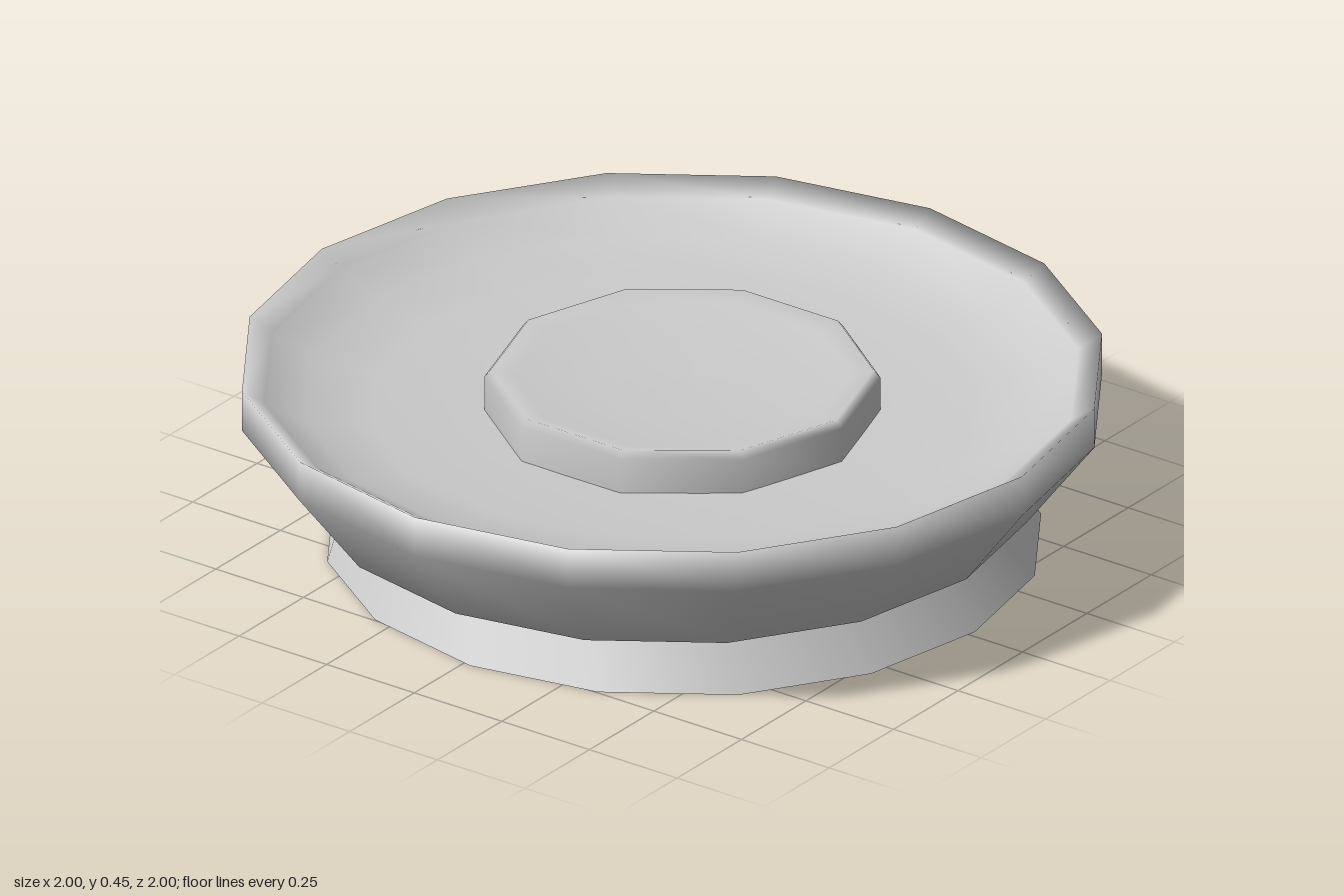
import * as THREE from 'three';

const material = new THREE.MeshStandardMaterial({ color: 0xcccccc, side: THREE.DoubleSide });

// Turn a [radius, height] profile around the y axis
function turned(name, profile, sides) {
  const points = profile.map(([r, y]) => new THREE.Vector2(r, y));
  const mesh = new THREE.Mesh(new THREE.LatheGeometry(points, sides), material);
  mesh.name = name;
  return mesh;
}

export function createModel() {
  const model = new THREE.Group();
  model.name = 'dish';

  // Flared outer wall with its rim
  model.add(turned('wall', [
    [0.77, 0.11], [0.84, 0.14], [1, 0.35], [1, 0.45], [0.945, 0.415],
  ], 16));

  // Thin dished floor hung from the rim
  model.add(turned('floor', [
    [0.945, 0.415], [0.85, 0.36], [0.7, 0.34], [0.45, 0.325], [0, 0.315],
  ], 16));

  // Open foot ring, its lower edge shifted slightly off centre
  const foot = turned('foot', [[0.83, 0], [0.77, 0.11]], 16);
  const pos = foot.geometry.attributes.position;
  for (let i = 0; i < pos.count; i++) {
    if (pos.getY(i) < 0.05) {
      pos.setX(i, pos.getX(i) + 0.02);
      pos.setZ(i, pos.getZ(i) + 0.02);
    }
  }
  model.add(foot);

  // Ten-sided raised centre with a shallow hollow on top
  const knob = turned('centreKnob', [
    [0.455, 0.315], [0.455, 0.41], [0.44, 0.428], [0.39, 0.415], [0.2, 0.403], [0, 0.4],
  ], 10);
  knob.position.set(0.02, 0, 0.015);
  model.add(knob);

  return model;
}
